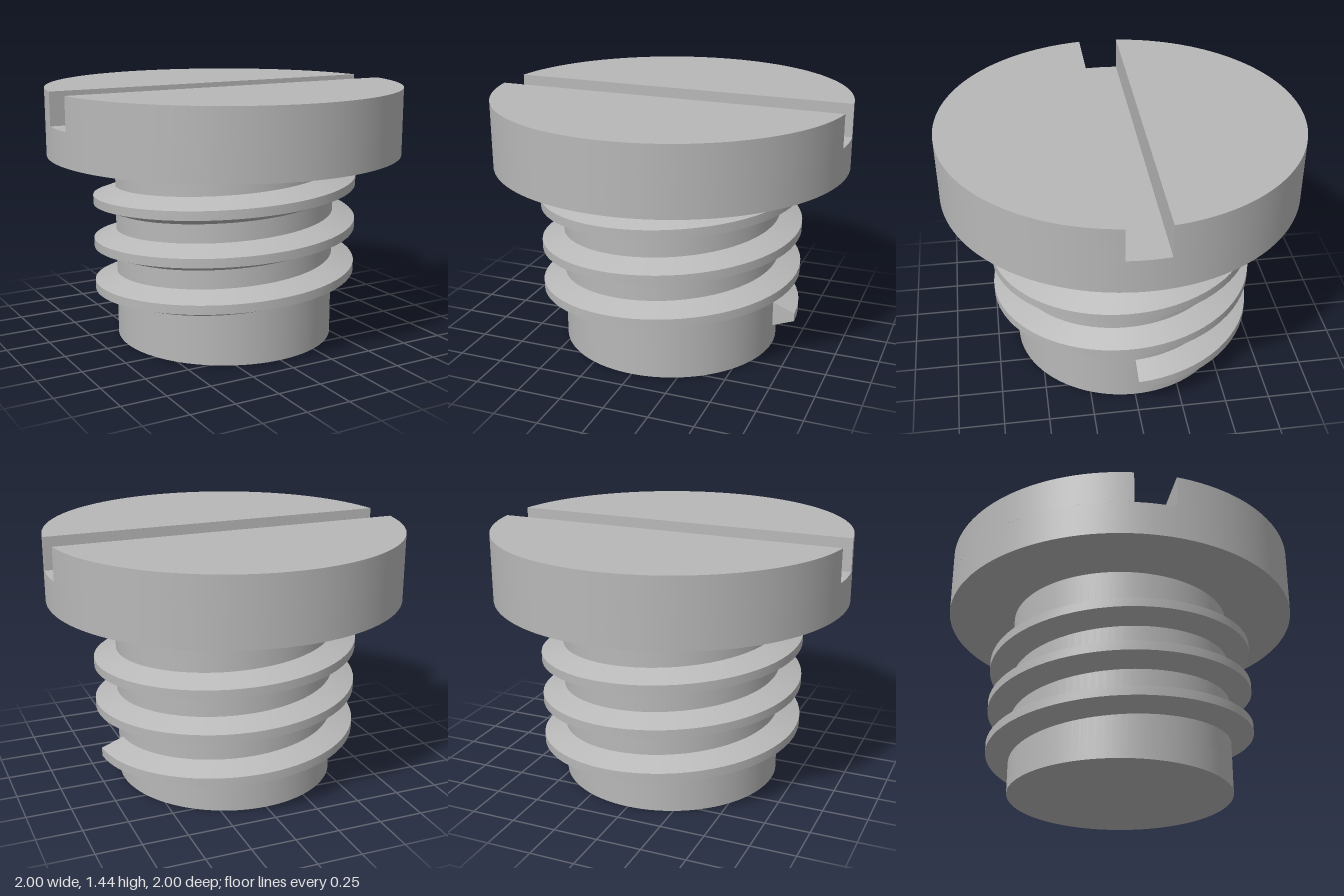
import * as THREE from 'three';
import { toCreasedNormals } from 'three/addons/utils/BufferGeometryUtils.js';

const HEAD_RADIUS = 1, HEAD_BOTTOM = 1.065, HEAD_TOP = 1.44;
const SLOT_HALF = 0.114, SLOT_FLOOR = 1.255;
const SHANK_RADIUS = 0.623;
const THREAD_START = 0.19, PITCH = 0.25, TURNS = 3;

// Half of the slotted head: a circle segment cut off by the slot wall
function headHalfGeometry() {
  const a = Math.asin(SLOT_HALF / HEAD_RADIUS);
  const shape = new THREE.Shape();
  shape.absarc(0, 0, HEAD_RADIUS, a, Math.PI - a, false);
  shape.closePath();
  const geometry = new THREE.ExtrudeGeometry(shape, {
    depth: HEAD_TOP - SLOT_FLOOR, bevelEnabled: false, curveSegments: 64,
  });
  geometry.rotateX(-Math.PI / 2);
  return toCreasedNormals(geometry, 0.4);
}

// Trapezoid section swept up a helix, with both ends capped
function threadGeometry() {
  const section = [[0.61, -0.078], [0.75, -0.025], [0.75, 0.025], [0.61, 0.078]];
  const steps = 72 * TURNS, n = section.length;
  const positions = [], indices = [];
  for (let i = 0; i <= steps; i++) {
    const turn = (i / steps) * TURNS, t = turn * Math.PI * 2;
    for (const [r, y] of section) {
      positions.push(r * Math.cos(t), THREAD_START + turn * PITCH + y, -r * Math.sin(t));
    }
  }
  for (let i = 0; i < steps; i++) {
    // The root face is buried in the shank, so it is left out
    for (let j = 0; j < n - 1; j++) {
      const a = i * n + j, b = a + 1, c = a + n, d = b + n;
      indices.push(a, d, b, a, c, d);
    }
  }
  const e = steps * n;
  indices.push(0, 1, 2, 0, 2, 3, e, e + 2, e + 1, e, e + 3, e + 2);
  const geometry = new THREE.BufferGeometry();
  geometry.setAttribute('position', new THREE.Float32BufferAttribute(positions, 3));
  geometry.setIndex(indices);
  return toCreasedNormals(geometry, 0.3);
}

export function createModel() {
  const steel = new THREE.MeshStandardMaterial({ color: 0xb8b8b8 });
  steel.name = 'grey steel';
  const model = new THREE.Group();
  model.name = 'slottedScrew';

  const add = (name, geometry, y = 0) => {
    const mesh = new THREE.Mesh(geometry, steel);
    mesh.name = name;
    mesh.position.y = y;
    model.add(mesh);
    return mesh;
  };

  // Shank with its helical thread
  add('shank', new THREE.CylinderGeometry(SHANK_RADIUS, SHANK_RADIUS, HEAD_BOTTOM, 96), HEAD_BOTTOM / 2);
  add('thread', threadGeometry());

  // Head: a full disc up to the slot floor, then a segment on each side of the slot
  const discHeight = SLOT_FLOOR - HEAD_BOTTOM;
  add('headDisc', new THREE.CylinderGeometry(HEAD_RADIUS, HEAD_RADIUS, discHeight, 128), HEAD_BOTTOM + discHeight / 2);
  const half = headHalfGeometry();
  add('headBackHalf', half, SLOT_FLOOR);
  add('headFrontHalf', half, SLOT_FLOOR).rotation.y = Math.PI;

  return model;
}
